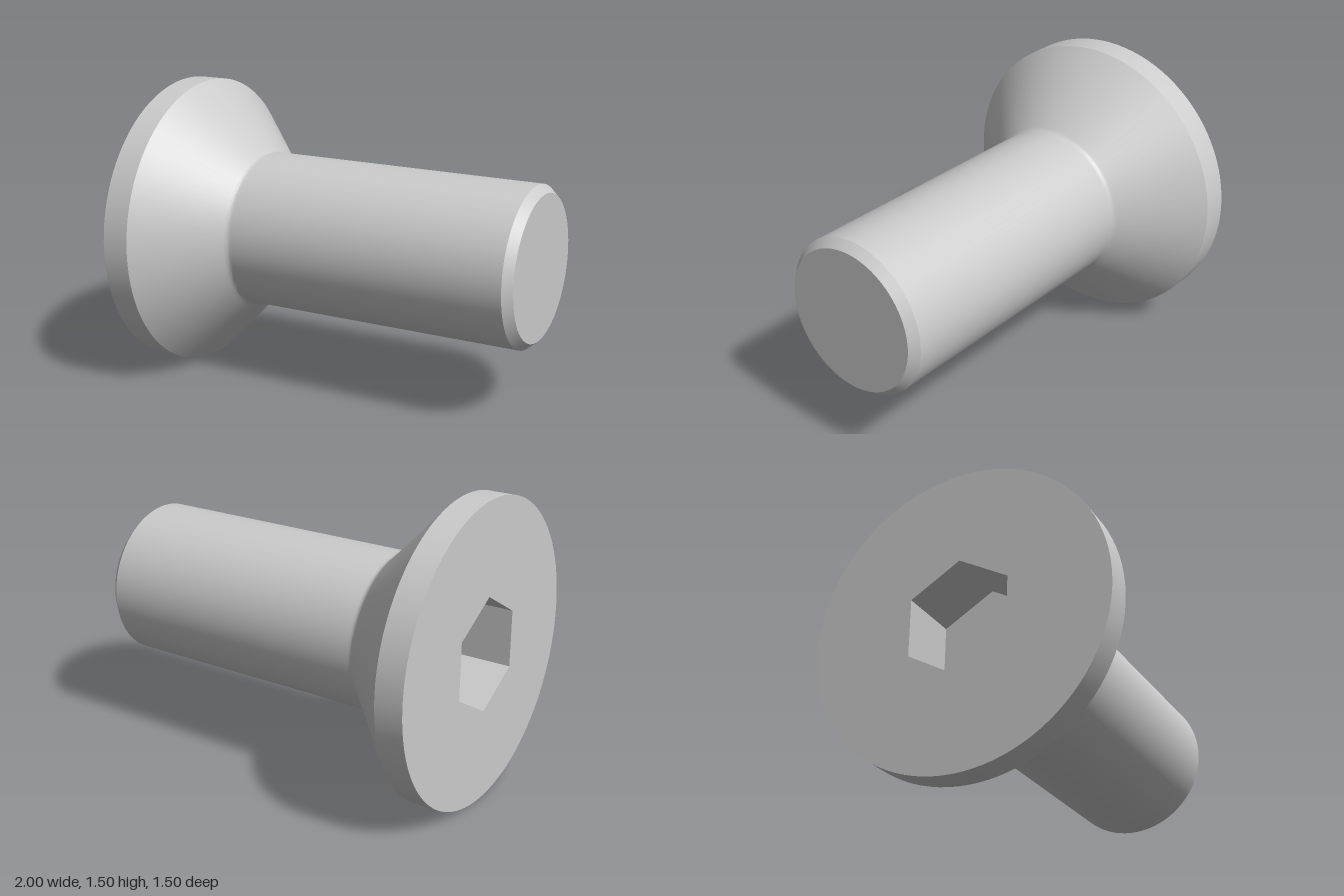
import * as THREE from 'three';
import { toCreasedNormals } from 'three/addons/utils/BufferGeometryUtils.js';

const SEGMENTS = 96;
const HEAD_R = 0.752, SHAFT_R = 0.398, TIP_R = 0.36;
const SOCKET_R = 0.287, SOCKET_DEPTH = 0.31;

export function createModel() {
  const group = new THREE.Group();
  group.name = 'countersunkScrew';
  const grey = new THREE.MeshStandardMaterial({ color: 0xcccccc });
  const socketGrey = new THREE.MeshStandardMaterial({
    color: 0xcccccc, flatShading: true, side: THREE.DoubleSide,
  });

  const add = (name, geometry, material = grey) => {
    const mesh = new THREE.Mesh(geometry, material);
    mesh.name = name;
    mesh.position.y = HEAD_R; // screw axis height
    group.add(mesh);
  };

  // Revolve a profile of [x, radius] pairs about the x axis
  const revolve = (profile) => {
    const points = profile.map(([x, r]) => new THREE.Vector2(r, x));
    const geometry = new THREE.LatheGeometry(points, SEGMENTS);
    geometry.rotateZ(-Math.PI / 2);
    return toCreasedNormals(geometry, 0.5);
  };

  // Small fillet easing the 45 degree cone into the shaft
  const filletR = 0.04, filletEnd = -0.495, steps = 4;
  const fillet = [];
  for (let i = 0; i <= steps; i++) {
    const a = (Math.PI / 4) * (1 - i / steps);
    fillet.push([filletEnd - filletR * Math.sin(a), SHAFT_R + filletR * (1 - Math.cos(a))]);
  }
  const [coneX, coneR] = fillet[0];

  // Head rim, countersink cone and shaft
  add('headRim', revolve([[-1, HEAD_R], [-0.86, HEAD_R]]));
  add('coneAndShaft', revolve([
    [-0.86, HEAD_R], [coneX - 0.01, coneR + 0.01], ...fillet,
    [filletEnd + 0.01, SHAFT_R], [0.957, SHAFT_R],
  ]));

  // Chamfered tip and its flat end
  add('tipChamfer', revolve([[0.957, SHAFT_R], [1, TIP_R]]));
  const tip = new THREE.CircleGeometry(TIP_R, SEGMENTS);
  add('tipFace', tip.rotateY(Math.PI / 2).translate(1, 0, 0));

  // Flat head face pierced by the hexagonal socket
  const face = new THREE.Shape().absarc(0, 0, HEAD_R, 0, Math.PI * 2);
  const hexagon = [];
  for (let i = 0; i < 6; i++) {
    const a = Math.PI / 2 - (i * Math.PI) / 3;
    hexagon.push(new THREE.Vector2(SOCKET_R * Math.cos(a), SOCKET_R * Math.sin(a)));
  }
  face.holes.push(new THREE.Path(hexagon));
  const faceGeometry = new THREE.ShapeGeometry(face, SEGMENTS / 2);
  add('headFace', faceGeometry.rotateY(-Math.PI / 2).translate(-1, 0, 0));

  // Socket walls and floor
  const walls = new THREE.CylinderGeometry(
    SOCKET_R, SOCKET_R, SOCKET_DEPTH, 6, 1, true, Math.PI / 2);
  walls.rotateZ(Math.PI / 2).translate(-1 + SOCKET_DEPTH / 2, 0, 0);
  add('socketWalls', walls, socketGrey);
  const floor = new THREE.CircleGeometry(SOCKET_R, 6, Math.PI / 2);
  add('socketFloor', floor.rotateY(-Math.PI / 2).translate(-1 + SOCKET_DEPTH, 0, 0));

  return group;
}
